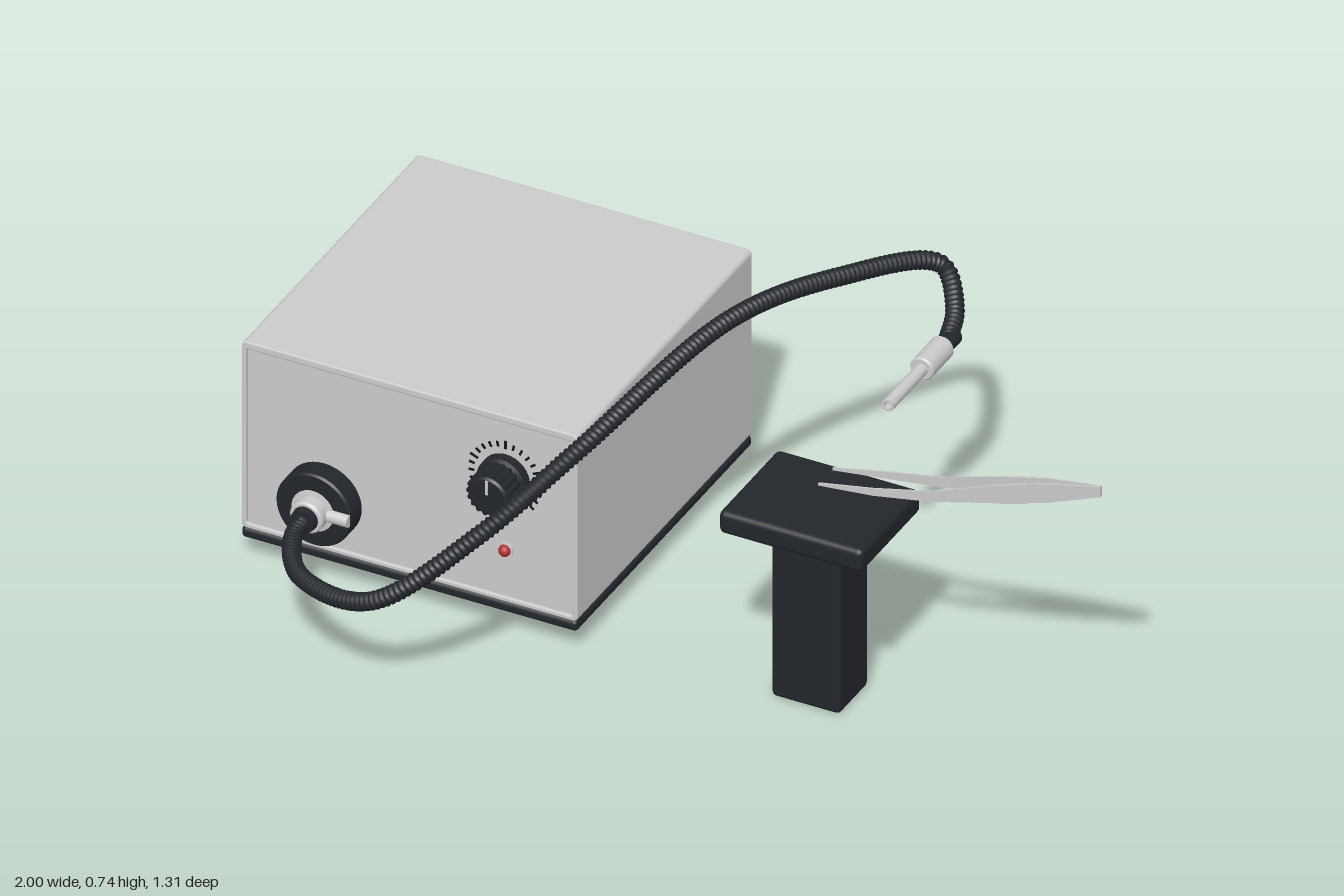
import * as THREE from 'three';
import { RoundedBoxGeometry } from 'three/addons/geometries/RoundedBoxGeometry.js';

const mat = (color) => new THREE.MeshStandardMaterial({ color });
const grey = mat(0xcccccc);
const dark = mat(0x23272c);
const black = mat(0x15171a);
const red = mat(0xb03030);

function add(parent, name, geometry, material, x = 0, y = 0, z = 0) {
  const mesh = new THREE.Mesh(geometry, material);
  mesh.name = name;
  mesh.position.set(x, y, z);
  parent.add(mesh);
  return mesh;
}

function group(parent, name) {
  const g = new THREE.Group();
  g.name = name;
  parent.add(g);
  return g;
}

// Rounded box given by its limits on each axis
function block(parent, name, material, [x0, x1], [y0, y1], [z0, z1], r) {
  const geo = new RoundedBoxGeometry(x1 - x0, y1 - y0, z1 - z0, 3, r);
  return add(parent, name, geo, material, (x0 + x1) / 2, (y0 + y1) / 2, (z0 + z1) / 2);
}

// Turned part along z; profile is [radius, z] pairs from back to front
function turned(parent, name, material, profile, x, y, sides = 32) {
  const pts = [];
  profile.forEach(([r, z], i) => {
    // doubled points keep the edges sharp
    pts.push(new THREE.Vector2(r, z));
    if (i > 0 && i < profile.length - 1) pts.push(new THREE.Vector2(r, z));
  });
  const geo = new THREE.LatheGeometry(pts, sides).rotateX(Math.PI / 2);
  return add(parent, name, geo, material, x, y, 0);
}

// Straight-line lookup in a table of evenly spaced values
function lookup(table, t) {
  const f = t * (table.length - 1);
  const i = Math.min(Math.floor(f), table.length - 2);
  return THREE.MathUtils.lerp(table[i], table[i + 1], f - i);
}

function roundedRect(target, x0, y0, x1, y1, r) {
  target.moveTo(x0 + r, y0);
  target.lineTo(x1 - r, y0);
  target.absarc(x1 - r, y0 + r, r, -Math.PI / 2, 0);
  target.absarc(x1 - r, y1 - r, r, 0, Math.PI / 2);
  target.absarc(x0 + r, y1 - r, r, Math.PI / 2, Math.PI);
  target.absarc(x0 + r, y0 + r, r, Math.PI, Math.PI * 1.5);
  return target;
}

function buildCase(root) {
  const g = group(root, 'controlUnit');
  // Wrap-around shell, open at front and back
  const shell = roundedRect(new THREE.Shape(), -1, 0.08, -0.195, 0.555, 0.012);
  shell.holes.push(roundedRect(new THREE.Path(), -0.988, 0.092, -0.207, 0.537, 0.006));
  add(g, 'caseShell', new THREE.ExtrudeGeometry(shell, {
    depth: 0.802, bevelThickness: 0.004, bevelSize: 0.003, bevelOffset: -0.003, bevelSegments: 2, curveSegments: 6,
  }), grey, 0, 0, -0.584);
  add(g, 'endPanels', new THREE.BoxGeometry(0.79, 0.45, 0.796), grey, -0.5975, 0.3145, -0.183);
  block(g, 'basePlate', dark, [-1, -0.195], [0.055, 0.082], [-0.59, 0.225], 0.01);
  for (const x of [-0.87, -0.32]) for (const z of [0.09, -0.43]) {
    add(g, 'foot', new THREE.CylinderGeometry(0.045, 0.043, 0.057, 24), dark, x, 0.0285, z);
  }

  // Rear row of vent holes
  for (let i = 0; i < 10; i++) {
    const x = -0.365 - i * 0.05;
    const rim = add(g, 'ventRim', new THREE.TorusGeometry(0.013, 0.003, 6, 16), grey, x, 0.375, -0.581);
    const hole = add(g, 'ventHole', new THREE.CircleGeometry(0.013, 16), black, x, 0.375, -0.582);
    rim.rotation.y = hole.rotation.y = Math.PI;
  }

  // Dial with grip ribs and a scale of ticks
  const dial = group(g, 'dial');
  dial.position.set(-0.37, 0.395, 0);
  turned(dial, 'knob', dark, [[0, 0.21], [0.058, 0.21], [0.058, 0.238], [0.049, 0.243], [0.047, 0.298], [0.042, 0.303], [0, 0.303]], 0, 0);
  for (let i = 0; i < 18; i++) {
    const a = (i / 18) * Math.PI * 2;
    add(dial, 'gripRib', new THREE.CylinderGeometry(0.006, 0.006, 0.054, 8).rotateX(Math.PI / 2), dark,
      Math.cos(a) * 0.047, Math.sin(a) * 0.047, 0.27);
  }
  add(dial, 'pointer', new THREE.BoxGeometry(0.006, 0.035, 0.003), grey, 0, 0.024, 0.304);
  for (let i = 0; i < 21; i++) {
    const a = -0.75 + (i / 20) * (Math.PI + 1.5);
    const long = i % 5 === 0;
    const tick = add(dial, 'scaleTick', new THREE.BoxGeometry(long ? 0.02 : 0.013, 0.005, 0.003), black,
      Math.cos(a) * 0.082, Math.sin(a) * 0.082, 0.216);
    tick.rotation.z = a;
  }

  // Indicator lamp
  turned(g, 'lampBezel', grey, [[0, 0.21], [0.018, 0.21], [0.018, 0.219], [0, 0.219]], -0.37, 0.21, 20);
  add(g, 'lamp', new THREE.SphereGeometry(0.014, 16, 10), red, -0.37, 0.21, 0.22);

  // Hose socket
  const [sx, sy] = [-0.805, 0.207];
  turned(g, 'socketFlange', dark, [[0, 0.21], [0.09, 0.21], [0.09, 0.262], [0.086, 0.267], [0, 0.267]], sx, sy, 40);
  turned(g, 'socketCollar', grey, [[0, 0.26], [0.05, 0.26], [0.05, 0.27], [0.039, 0.272], [0.039, 0.298], [0.035, 0.302], [0, 0.302]], sx, sy);
  turned(g, 'hoseNut', dark, [[0, 0.3], [0.03, 0.3], [0.028, 0.32], [0, 0.32]], sx, sy);
  const screw = add(g, 'lockScrew', new THREE.CylinderGeometry(0.015, 0.015, 0.055, 16), grey, -0.745, sy, 0.268);
  screw.rotation.z = Math.PI / 2;
}

// Ribbed hose ending in a metal handpiece
function buildHose(root) {
  const g = group(root, 'hoseAssembly');
  const path = new THREE.CatmullRomCurve3([
    [-0.807, 0.207, 0.3], [-0.795, 0.207, 0.38], [-0.7, 0.222, 0.525], [-0.47, 0.295, 0.632], [-0.265, 0.47, 0.535],
    [-0.13, 0.612, 0.34], [0, 0.722, -0.1], [0.11, 0.69, -0.4], [0.235, 0.62, -0.635],
    [0.3, 0.567, -0.57], [0.329, 0.546, -0.48],
  ].map((p) => new THREE.Vector3(...p)));
  const segs = 720, sides = 12, r = 0.02;
  const geo = new THREE.TubeGeometry(path, segs, r, sides);
  const pos = geo.attributes.position, c = new THREE.Vector3(), v = new THREE.Vector3();
  for (let i = 0; i <= segs; i++) {
    path.getPointAt(i / segs, c);
    const k = i % 4 < 2 ? 1.06 : 0.92;
    for (let j = 0; j <= sides; j++) {
      const n = i * (sides + 1) + j;
      v.fromBufferAttribute(pos, n).sub(c).multiplyScalar(k).add(c);
      pos.setXYZ(n, v.x, v.y, v.z);
    }
  }
  geo.computeVertexNormals();
  add(g, 'ribbedHose', geo, dark);

  const [hx, hy] = [0.33, 0.546];
  turned(g, 'hoseEnd', dark, [[0, -0.505], [0.021, -0.505], [0.021, -0.45], [0, -0.45]], hx, hy);
  turned(g, 'handpieceCollar', grey, [[0, -0.456], [0.025, -0.456], [0.028, -0.452], [0.028, -0.36], [0.025, -0.356], [0, -0.356]], hx, hy);
  turned(g, 'handpieceTube', grey, [[0.0145, -0.36], [0.0145, -0.2], [0.009, -0.2], [0.009, -0.3], [0, -0.3]], hx, hy, 24);
}

function buildStand(root) {
  const g = group(root, 'stand');
  block(g, 'standPost', dark, [0.245, 0.41], [0, 0.435], [0.042, 0.177], 0.012);
  block(g, 'standTop', dark, [0.155, 0.5], [0.43, 0.487], [-0.028, 0.248], 0.014);
}

// Two bowed arms that meet at the raised end
function buildTweezers(root) {
  const g = group(root, 'tweezers');
  const height = [0.549, 0.571, 0.597, 0.636, 0.674, 0.712];
  const width = [0.006, 0.018, 0.026, 0.042, 0.05, 0.026];
  const spread = [0.033, 0.036, 0.031, 0.021, 0.011, 0.002];
  const strip = (from, to, thick, grow, side) => {
    const geo = new THREE.BoxGeometry(1, 1, 1, 20, 1, 1);
    const p = geo.attributes.position;
    for (let i = 0; i < p.count; i++) {
      const t = THREE.MathUtils.lerp(from, to, p.getX(i) + 0.5);
      p.setXYZ(i, 0.34 + t * 0.66, lookup(height, t) + p.getY(i) * (lookup(width, t) + grow),
        0.106 + side * lookup(spread, t) + p.getZ(i) * thick);
    }
    geo.computeVertexNormals();
    return geo;
  };
  for (const side of [-1, 1]) {
    add(g, 'tweezerArm', strip(0, 1, 0.004, 0, side), grey);
    add(g, 'tweezerGrip', strip(0.625, 0.745, 0.006, 0.002, side), grey);
  }
}

export function createModel() {
  const root = new THREE.Group();
  root.name = 'workstation';
  buildCase(root);
  buildHose(root);
  buildStand(root);
  buildTweezers(root);
  return root;
}
